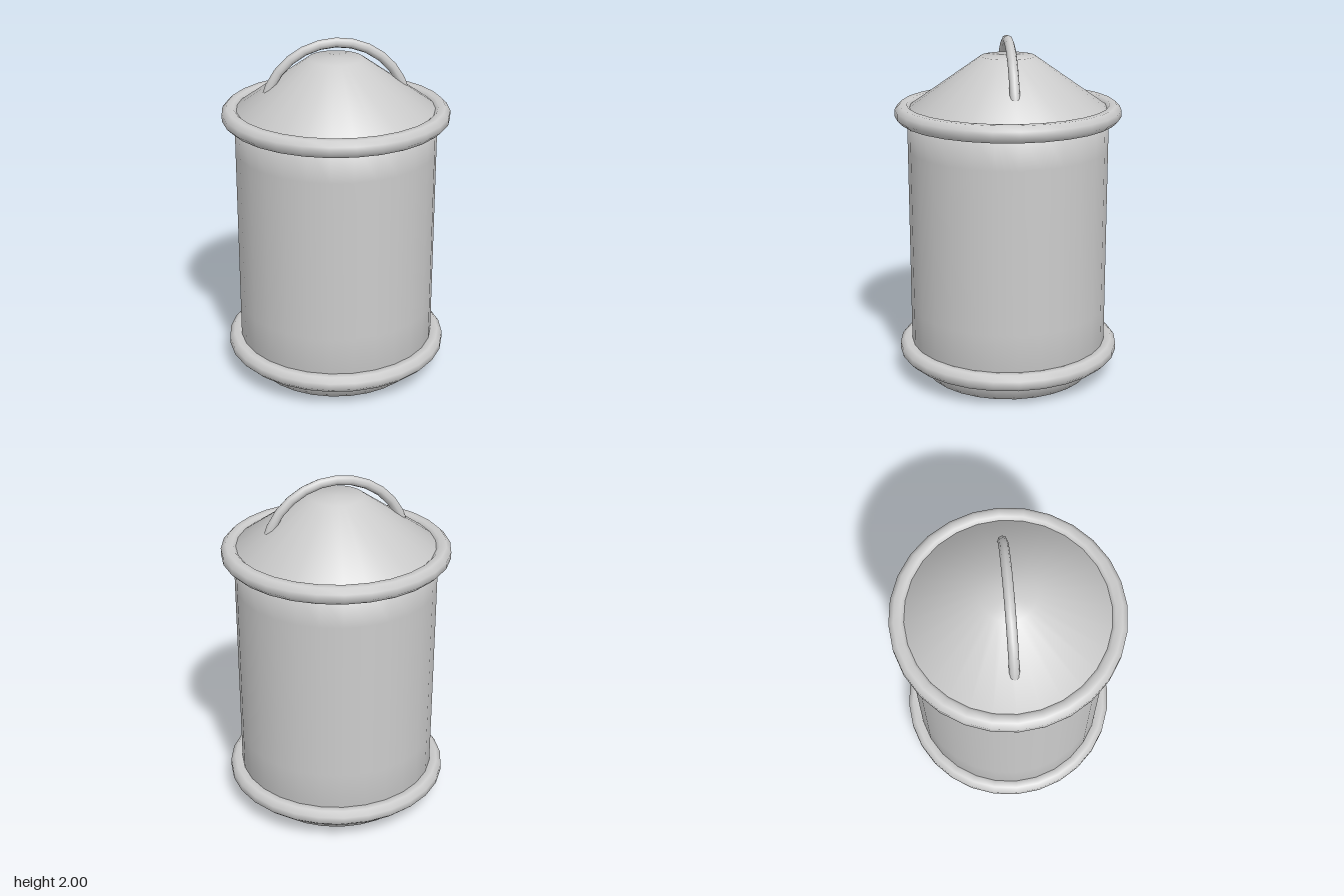
import * as THREE from 'three';
import { mergeVertices } from 'three/addons/utils/BufferGeometryUtils.js';

const SEGMENTS = 28;

// Closed ring around y with an eight-sided section, flat on its outer side
function ringGeometry(radius, tube) {
  const section = [];
  for (let i = 0; i <= 8; i++) {
    const a = Math.PI / 8 + (i * Math.PI) / 4;
    section.push(new THREE.Vector2(radius + tube * Math.cos(a), tube * Math.sin(a)));
  }
  let geometry = new THREE.LatheGeometry(section, SEGMENTS);
  // Weld the seams so the shading is smooth all round
  geometry.deleteAttribute('normal');
  geometry.deleteAttribute('uv');
  geometry = mergeVertices(geometry, 1e-4);
  geometry.computeVertexNormals();
  return geometry;
}

export function createModel() {
  const group = new THREE.Group();
  const material = new THREE.MeshStandardMaterial({ color: 0xcccccc });

  function add(name, geometry, y = 0) {
    const mesh = new THREE.Mesh(geometry, material);
    mesh.name = name;
    mesh.position.y = y;
    group.add(mesh);
  }

  // Canister: tapered foot, straight wall and truncated conical top in one skin
  const profile = [
    [0, 0], [0.49, 0], [0.575, 0.105], [0.575, 0.42], [0.575, 1.36],
    [0.575, 1.59], [0.155, 1.885], [0, 1.885],
  ].map(([r, y]) => new THREE.Vector2(r, y));
  add('body', new THREE.LatheGeometry(profile, SEGMENTS));

  // Rims around the foot and the shoulder
  const rim = ringGeometry(0.598, 0.051);
  add('lowerRim', rim, 0.157);
  add('upperRim', rim, 1.569);

  // Carrying hoop, its ends sunk into the cone
  add('handle', new THREE.TorusGeometry(0.412, 0.028, 8, SEGMENTS / 2, Math.PI), 1.56);

  return group;
}
